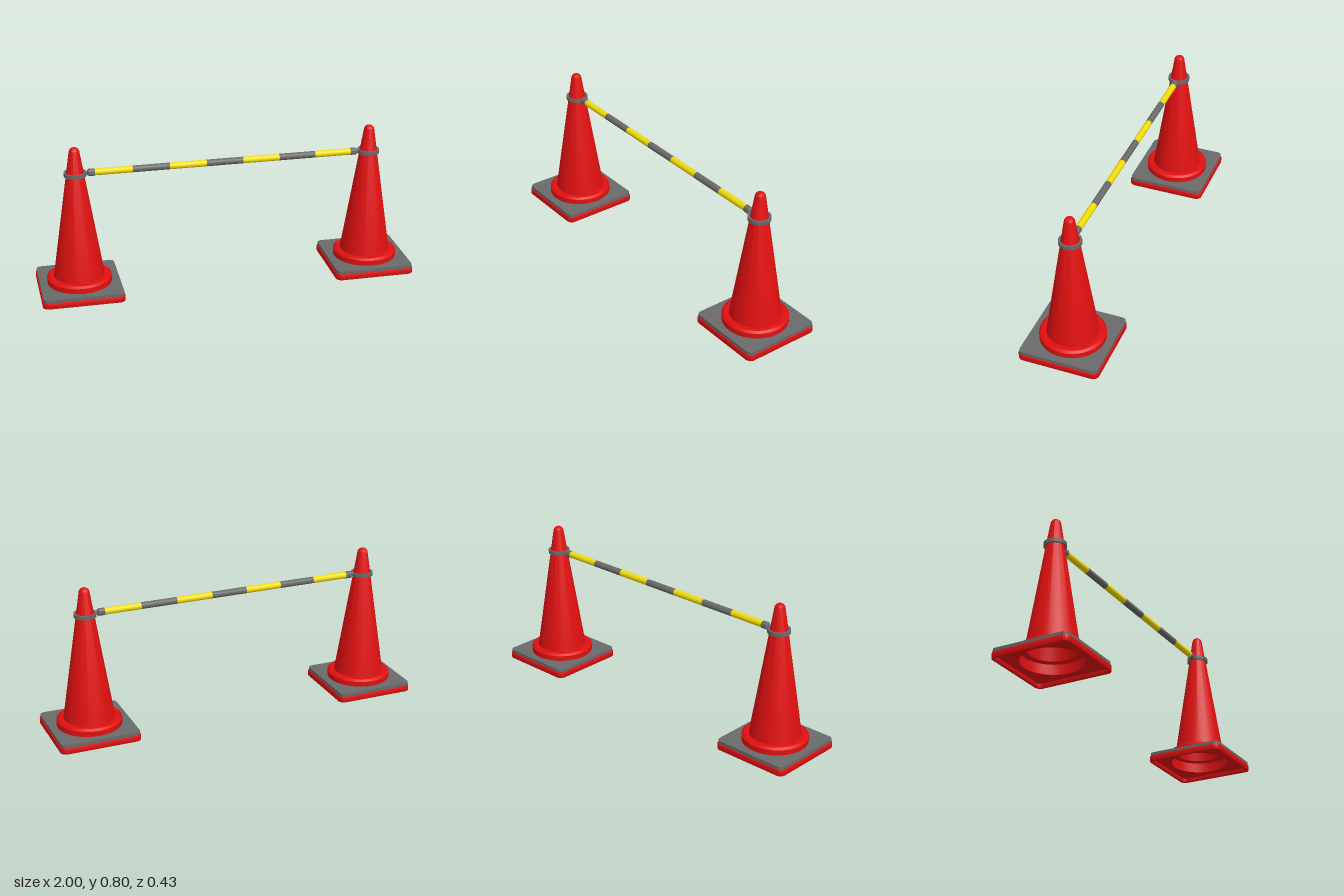
import * as THREE from 'three';
import { toCreasedNormals } from 'three/addons/utils/BufferGeometryUtils.js';

const red = new THREE.MeshStandardMaterial({ color: 0xe01010 });
const grey = new THREE.MeshStandardMaterial({ color: 0x6a6a6a });
const yellow = new THREE.MeshStandardMaterial({ color: 0xf2dc08 });

const CONE_X = 0.785;
const BAR_Y = 0.654;

function add(parent, name, geometry, material) {
  const mesh = new THREE.Mesh(geometry, material);
  mesh.name = name;
  parent.add(mesh);
  return mesh;
}

// Square outline with rounded corners
function roundedSquare(half, r, PathType = THREE.Shape) {
  const p = new PathType();
  const c = half - r;
  p.absarc(c, c, r, 0, Math.PI / 2);
  p.absarc(-c, c, r, Math.PI / 2, Math.PI);
  p.absarc(-c, -c, r, Math.PI, Math.PI * 1.5);
  p.absarc(c, -c, r, Math.PI * 1.5, Math.PI * 2);
  p.closePath();
  return p;
}

function circleHole(r) {
  return new THREE.Path().absarc(0, 0, r, 0, Math.PI * 2, true);
}

// Flat outline raised from y0 to y1
function slab(shape, y0, y1, bevel = 0) {
  const g = new THREE.ExtrudeGeometry(shape, {
    depth: y1 - y0 - 2 * bevel, curveSegments: 16,
    bevelEnabled: bevel > 0, bevelSize: bevel, bevelThickness: bevel, bevelSegments: 2,
  });
  g.rotateX(-Math.PI / 2).translate(0, y0 + bevel, 0);
  return toCreasedNormals(g, 0.6);
}

function turned(points, segments = 64) {
  const pts = points.map(([x, y]) => new THREE.Vector2(x, y));
  return toCreasedNormals(new THREE.LatheGeometry(pts, segments), 0.6);
}

function makeCone() {
  const cone = new THREE.Group();

  // Hollow foot: outer rim with a recessed floor
  const rim = roundedSquare(0.211, 0.028);
  rim.holes.push(roundedSquare(0.204, 0.022, THREE.Path));
  add(cone, 'baseRim', slab(rim, 0, 0.033, 0.004), red);

  const floor = roundedSquare(0.207, 0.026);
  floor.holes.push(circleHole(0.157));
  add(cone, 'baseFloor', slab(floor, 0.022, 0.032), red);

  const plate = roundedSquare(0.21, 0.026);
  plate.holes.push(circleHole(0.158));
  add(cone, 'basePlate', slab(plate, 0.032, 0.05), grey);

  // Thin shell: stepped collar, tapered body and round tip, then back down inside
  const profile = [[0.157, 0.022], [0.17, 0.022], [0.17, 0.078], [0.158, 0.088], [0.133, 0.088]];
  for (let i = 0; i <= 8; i++) {
    const a = 0.157 + (i / 8) * (Math.PI / 2 - 0.157);
    profile.push([Math.max(0, 0.0275 * Math.cos(a)), 0.7695 + 0.0275 * Math.sin(a)]);
  }
  profile.push([0, 0.785], [0.018, 0.765], [0.124, 0.078], [0.157, 0.076], [0.157, 0.022]);
  add(cone, 'coneBody', turned(profile), red);
  return cone;
}

// Ring around the cone, with the neck and cap gripping the bar on its +x side
function makeBarEnd() {
  const end = new THREE.Group();
  add(end, 'ring', turned([
    [0.047, 0.642], [0.058, 0.642], [0.058, 0.662], [0.047, 0.662], [0.047, 0.642],
  ]), grey);
  const cap = turned([
    [0, 0.052], [0.009, 0.052], [0.009, 0.062], [0.015, 0.065], [0.019, 0.07],
    [0.019, 0.1], [0.0175, 0.102], [0, 0.102],
  ], 32);
  cap.rotateZ(-Math.PI / 2).translate(0, BAR_Y, 0);
  add(end, 'barCap', cap, grey);
  return end;
}

export function createModel() {
  const model = new THREE.Group();
  model.name = 'coneBarrier';

  for (const side of [-1, 1]) {
    const label = side > 0 ? 'left' : 'right';
    const cone = makeCone();
    cone.name = label + 'Cone';
    cone.position.x = side * CONE_X;
    const end = makeBarEnd();
    end.name = label + 'BarEnd';
    end.position.x = side * CONE_X;
    if (side > 0) end.rotation.y = Math.PI;
    model.add(cone, end);
  }

  // Striped bar
  const stripes = 7;
  const length = 1.366 / stripes;
  for (let i = 0; i < stripes; i++) {
    const g = new THREE.CylinderGeometry(0.0175, 0.0175, length, 32);
    g.rotateZ(Math.PI / 2);
    const stripe = add(model, 'barStripe' + (i + 1), g, i % 2 ? grey : yellow);
    stripe.position.set((i - (stripes - 1) / 2) * length, BAR_Y, 0);
  }
  return model;
}
